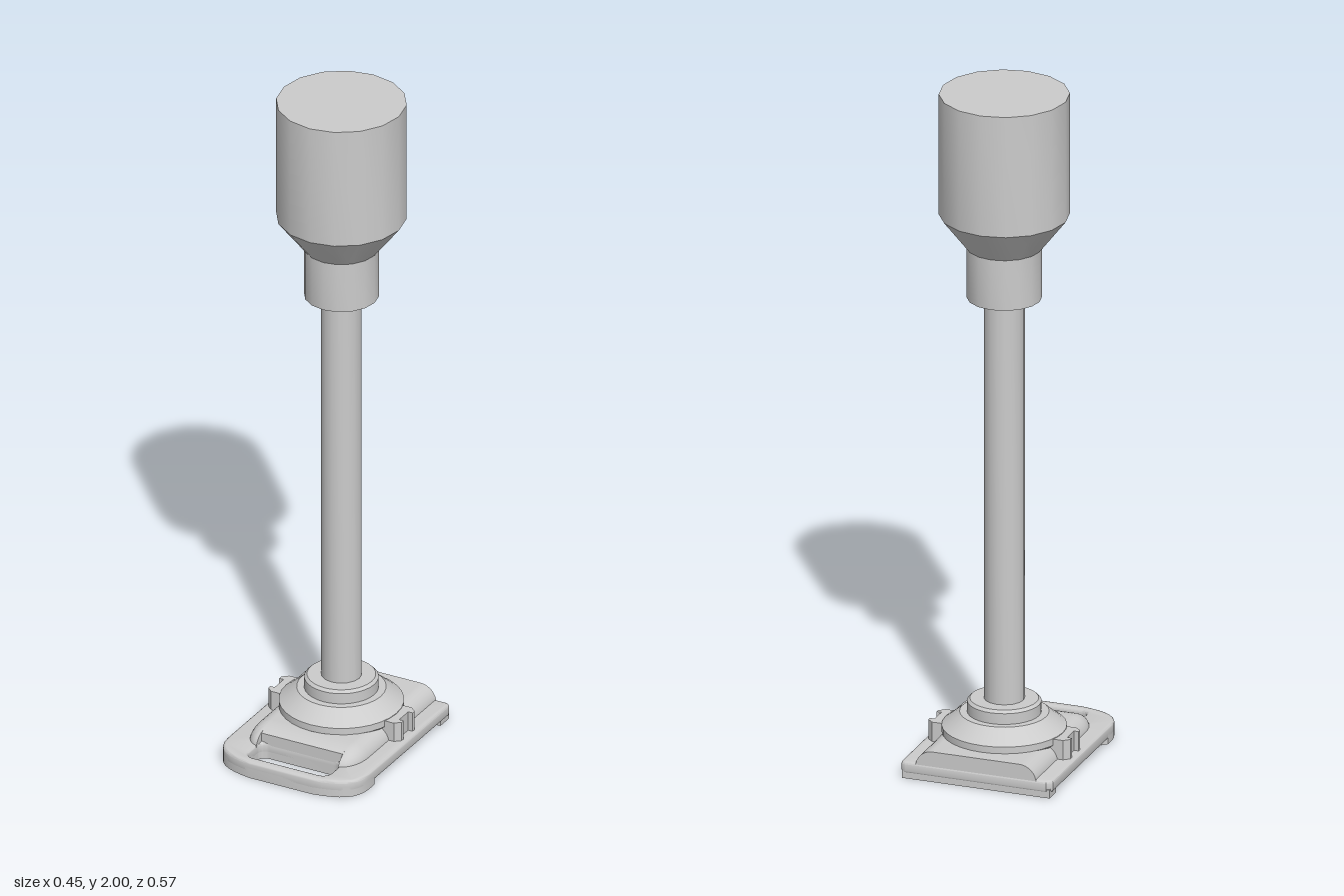
import * as THREE from 'three';
import { toCreasedNormals } from 'three/addons/utils/BufferGeometryUtils.js';

const AXIS_Z = -0.067;
const material = new THREE.MeshStandardMaterial({ color: 0xcccccc });

function part(name, geometry, crease = 0.6) {
  const mesh = new THREE.Mesh(toCreasedNormals(geometry, crease), material);
  mesh.name = name;
  return mesh;
}

// Turned part around the upright axis; points run from bottom to top
function turned(name, points, sides) {
  const mesh = part(name, new THREE.LatheGeometry(points.map(([r, y]) => new THREE.Vector2(r, y)), sides));
  mesh.position.z = AXIS_Z;
  return mesh;
}

// Extrudes a plan shape (x, -z) upwards from y0 to y1
function slab(name, shape, y0, y1, bevel = 0) {
  const geometry = new THREE.ExtrudeGeometry(shape, {
    depth: y1 - y0 - 2 * bevel, bevelEnabled: bevel > 0, bevelThickness: bevel,
    bevelSize: bevel, bevelOffset: -bevel, bevelSegments: 3, curveSegments: 8,
  });
  geometry.rotateX(-Math.PI / 2);
  geometry.translate(0, y0 + bevel, 0);
  return part(name, geometry);
}

// Plate plan: square back, rounded front, oblong handle slot
function plateShape(back) {
  const w = 0.225, r = 0.015;
  const s = new THREE.Shape();
  s.moveTo(-w + r, -back);
  s.lineTo(-w, -back - r);
  s.lineTo(-w, -0.18);
  s.bezierCurveTo(-w, -0.25, -0.18, -0.272, -0.1, -0.285);
  s.lineTo(0.1, -0.285);
  s.bezierCurveTo(0.18, -0.272, w, -0.25, w, -0.18);
  s.lineTo(w, -back - r);
  s.quadraticCurveTo(w, -back, w - r, -back);
  s.closePath();
  const x = 0.13, a = -0.16, b = -0.255, c = 0.03;
  const slot = new THREE.Path();
  slot.moveTo(-x + c, a);
  slot.lineTo(x - c, a);
  slot.quadraticCurveTo(x, a, x, a - c);
  slot.lineTo(x, b + c);
  slot.quadraticCurveTo(x, b, x - c, b);
  slot.lineTo(-x + c, b);
  slot.quadraticCurveTo(-x, b, -x, b + c);
  slot.lineTo(-x, a - c);
  slot.quadraticCurveTo(-x, a, -x + c, a);
  s.holes.push(slot);
  return s;
}

// Domed housing: rings shrink and rise, flat at the back, cut off by the slot in front
function moundGeometry() {
  const rings = 8, steps = 8, positions = [], index = [];
  let count = 0;
  for (let k = 0; k <= rings; k++) {
    const a = (k / rings) * Math.PI / 2;
    const c = Math.cos(a), y = 0.04 + 0.05 * Math.sin(a);
    const half = [[0.13 + 0.05 * c, -0.289]];
    for (let i = 0; i <= steps; i++) {
      const t = (i / steps) * Math.PI / 2;
      half.push([0.13 + 0.05 * c * Math.cos(t), 0.1 + 0.09 * c * Math.sin(t)]);
    }
    half.push([0.129, Math.min(0.1 + 0.09 * c, 0.16)]);
    const ring = [...half, ...half.slice().reverse().map(([x, z]) => [-x, z])];
    count = ring.length;
    ring.forEach(([x, z]) => positions.push(x, y, z));
  }
  for (let k = 0; k < rings; k++) {
    for (let i = 0; i < count; i++) {
      const a = k * count + i, b = k * count + (i + 1) % count;
      index.push(a, a + count, b, b, a + count, b + count);
    }
  }
  const top = rings * count;
  for (let i = 1; i < count - 1; i++) index.push(top, top + i + 1, top + i);
  const g = new THREE.BufferGeometry();
  g.setAttribute('position', new THREE.Float32BufferAttribute(positions, 3));
  g.setIndex(index);
  return g;
}

export function createModel() {
  const model = new THREE.Group();
  model.name = 'pedestalTool';

  // Base plate with a shallow recess underneath
  model.add(slab('basePlate', plateShape(-0.29), 0.014, 0.05, 0.008));
  model.add(slab('frontFoot', plateShape(0.14), 0, 0.03));
  const backFoot = part('backFoot', new THREE.BoxGeometry(0.44, 0.025, 0.05));
  backFoot.position.set(0, 0.0125, -0.264);
  model.add(backFoot);
  model.add(part('housing', moundGeometry(), 0.7));

  // Star of stiffening ribs under the plate
  const ribs = new THREE.Group();
  ribs.name = 'undersideRibs';
  for (let i = 0; i < 4; i++) {
    const rib = part('rib', new THREE.BoxGeometry(i % 2 ? 0.52 : 0.4, 0.014, 0.016));
    rib.rotation.y = i * Math.PI / 4;
    rib.position.set(0, 0.01, -0.05);
    ribs.add(rib);
  }
  model.add(ribs);

  // Side clips, mirrored
  for (const side of [1, -1]) {
    const outline = [[0.14, -0.12], [0.195, -0.12], [0.212, -0.105], [0.212, -0.093], [0.198, -0.093],
      [0.198, -0.041], [0.212, -0.041], [0.212, -0.03], [0.195, -0.015], [0.14, -0.015]];
    const shape = new THREE.Shape(outline.map(([x, z]) => new THREE.Vector2(side * x, -z)));
    model.add(slab(side > 0 ? 'leftClip' : 'rightClip', shape, 0.045, 0.108));
  }

  // Stepped socket, shaft and head
  model.add(turned('socket', [[0, 0.08], [0.165, 0.08], [0.175, 0.09], [0.175, 0.11], [0.165, 0.117],
    [0.125, 0.15], [0.104, 0.15], [0.104, 0.182], [0.096, 0.19], [0, 0.19]], 32));
  model.add(turned('shaft', [[0.057, 0.18], [0.057, 1.4]], 16));
  model.add(turned('head', [[0, 1.39], [0.105, 1.39], [0.105, 1.54], [0.183, 1.64], [0.183, 2], [0, 2]], 16));
  return model;
}
